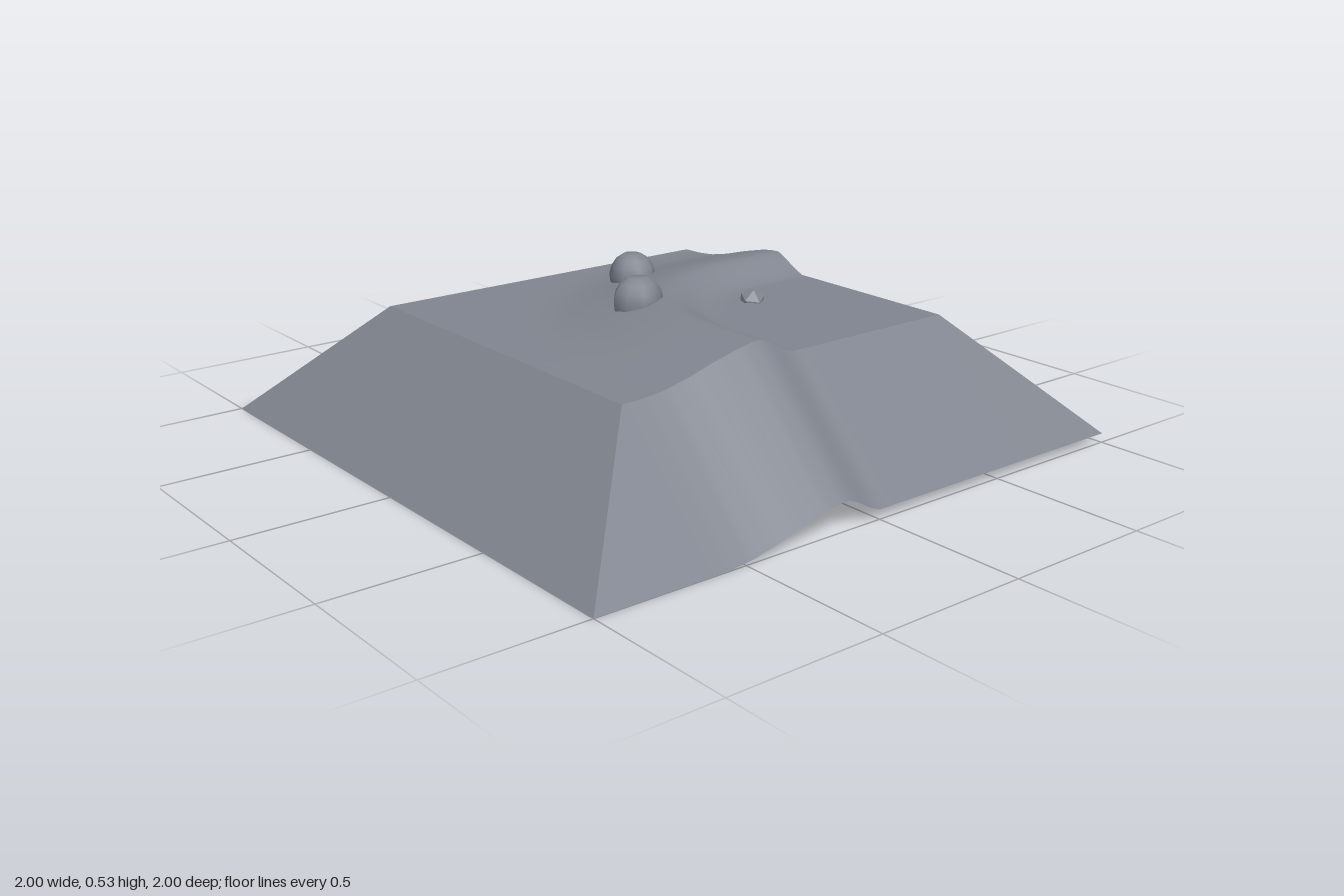
import * as THREE from 'three';

const HALF = 0.625;   // half width of the plateau
const SLOPE = 0.375;  // drop and outward run of the sloped skirt
const ARC = 0.4;      // radius of the bend in the ridge

// Ridge cross-section: distance from the valley edge, height above the low ground
const PROFILE = [
  [0, 0.03], [0.04, 0.045], [0.08, 0.069], [0.12, 0.089], [0.16, 0.087], [0.2, 0.081],
  [0.3, 0.056], [0.4, 0.027], [0.48, 0.009], [0.55, 0.002], [0.62, 0],
];

function profileHeight(s) {
  if (s <= 0) return PROFILE[0][1];
  for (let i = 1; i < PROFILE.length; i++) {
    const [a, ha] = PROFILE[i - 1], [b, hb] = PROFILE[i];
    if (s <= b) return ha + (hb - ha) * (s - a) / (b - a);
  }
  return 0;
}

// The ridge runs in from the back, bends round an arc and leaves on the left
function groundHeight(x, z) {
  const dx = Math.max(0, ARC - x), dz = Math.max(0, z + ARC);
  return SLOPE + profileHeight(Math.hypot(dx, dz) - ARC);
}

function gridLines() {
  const lines = [];
  for (let i = 0; i <= 50; i++) lines.push(-HALF + (2 * HALF * i) / 50);
  return lines;
}

// Grid surface from a point function over rows and columns
function surface(rows, cols, point) {
  const pos = [], index = [];
  for (let i = 0; i < rows; i++) for (let j = 0; j < cols; j++) pos.push(...point(i, j));
  for (let i = 0; i < rows - 1; i++) {
    for (let j = 0; j < cols - 1; j++) {
      const a = i * cols + j, b = a + cols;
      index.push(a, b, a + 1, b, b + 1, a + 1);
    }
  }
  const geo = new THREE.BufferGeometry();
  geo.setAttribute('position', new THREE.Float32BufferAttribute(pos, 3));
  geo.setIndex(index);
  geo.computeVertexNormals();
  return geo;
}

// One sloped side: the plateau edge shifted down and outward, mitred at the ends
function skirt(angle) {
  const c = Math.cos(angle), s = Math.sin(angle);
  const ts = [-HALF - SLOPE, ...gridLines(), HALF + SLOPE];
  return surface(2, ts.length, (i, j) => {
    const edge = THREE.MathUtils.clamp(ts[j], -HALF, HALF);
    const y = groundHeight(edge * c + HALF * s, -edge * s + HALF * c);
    const u = i ? ts[j] : edge, v = i ? HALF + SLOPE : HALF;
    return [u * c + v * s, i ? y - SLOPE : y, -u * s + v * c];
  });
}

// Open-bottomed boulder with an uneven outline
function boulder(rx, ry, rz, seed) {
  const geo = new THREE.SphereGeometry(1, 9, 5, 0, Math.PI * 2, 0, Math.PI * 0.6);
  const p = geo.attributes.position;
  for (let i = 0; i < p.count; i++) {
    const x = p.getX(i), y = p.getY(i), z = p.getZ(i);
    const k = 1 + 0.07 * Math.sin(4 * x + seed) * Math.cos(5 * z + seed * 2);
    p.setXYZ(i, x * k * rx, Math.min(y, 0.93) * ry, z * k * rz);
  }
  geo.computeVertexNormals();
  return geo;
}

export function createModel() {
  const group = new THREE.Group();
  const stone = new THREE.MeshStandardMaterial({ color: 0x80858f, side: THREE.DoubleSide });
  stone.name = 'grey stone';
  const add = (name, geo, x = 0, y = 0, z = 0) => {
    const mesh = new THREE.Mesh(geo, stone);
    mesh.name = name;
    mesh.position.set(x, y, z);
    group.add(mesh);
    return mesh;
  };

  // Plateau with the curved ridge
  const g = gridLines();
  add('plateau', surface(g.length, g.length, (i, j) => [g[j], groundHeight(g[j], g[i]), g[i]]));

  // Four sloped sides
  ['frontSlope', 'leftSlope', 'backSlope', 'rightSlope'].forEach((name, i) => {
    add(name, skirt(i * Math.PI / 2));
  });

  // Boulders and a small pebble sunk into the ground
  add('ridgeBoulder', boulder(0.075, 0.085, 0.085, 1), 0.047, 0.45, 0.122);
  add('lowBoulder', boulder(0.08, 0.085, 0.08, 2.6), -0.31, 0.418, -0.13);
  const pebble = add('pebble', new THREE.IcosahedronGeometry(0.044, 0), 0.135, 0.401, -0.275);
  pebble.rotation.set(0.3, 0.5, 0.2);
  return group;
}
